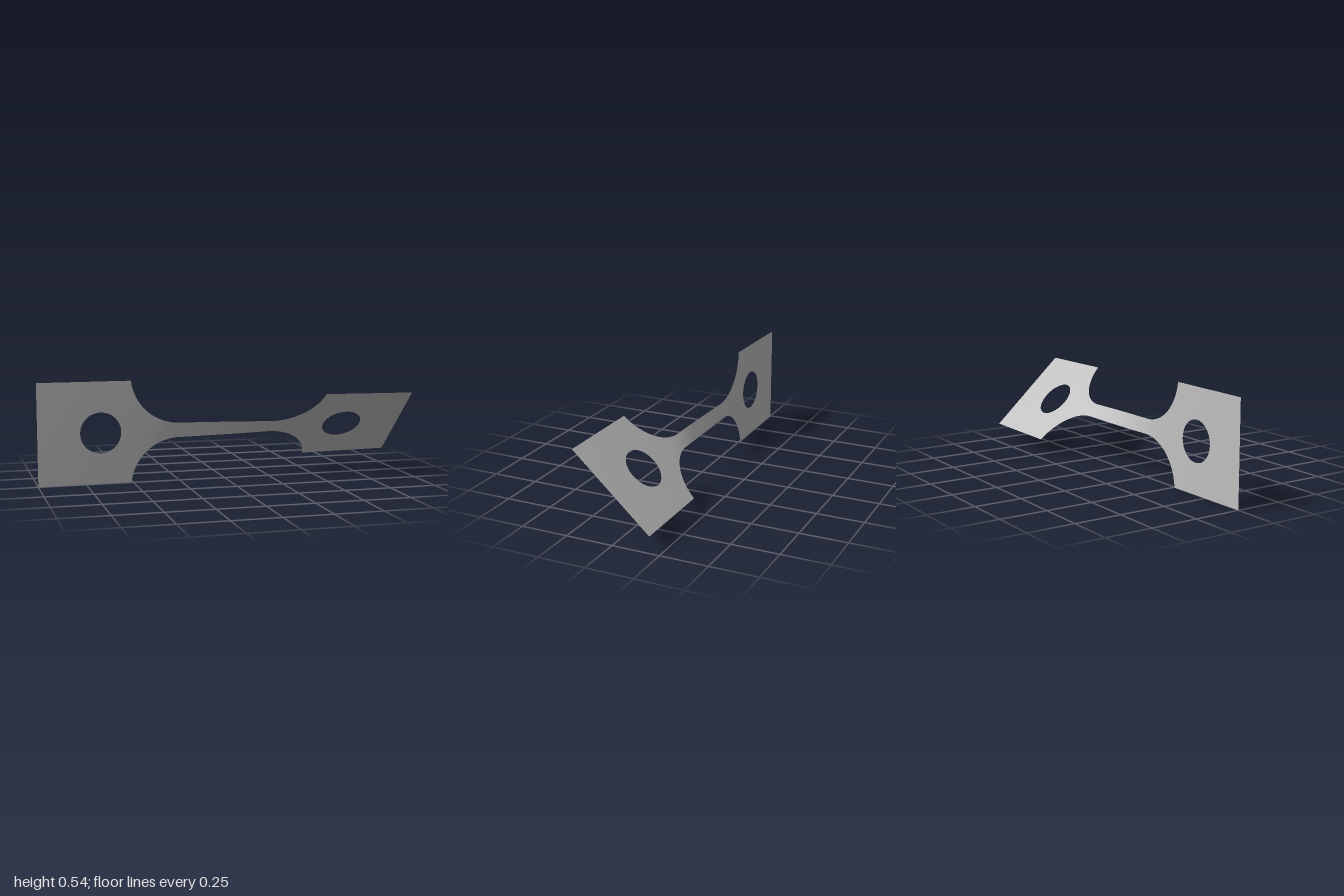
import * as THREE from 'three';
import { mergeGeometries } from 'three/addons/utils/BufferGeometryUtils.js';

const AXIS_Y = 0.271;      // height of the long axis
const HALF = 0.271;        // half width of the end tabs
const NECK_END = 0.25, RADIUS = 0.26, FILLET_Y = 0.3;
const TAB_START = NECK_END + 0.2584;
const HOLE_X = 0.67, HOLE_R = 0.108;
const TWIST = THREE.MathUtils.degToRad(47.4);

// Half width of the strip at x
function halfWidth(x) {
  const d = Math.abs(x) - NECK_END;
  if (d <= 0) return FILLET_Y - RADIUS;
  if (Math.abs(x) >= TAB_START) return HALF;
  return Math.min(HALF, FILLET_Y - Math.sqrt(RADIUS * RADIUS - d * d));
}

// Twist accumulates along x, fastest where the strip is narrow
const STEPS = 1000;
const turn = [0];
for (let i = 0; i < STEPS; i++) {
  turn.push(turn[i] + Math.pow(halfWidth(-1 + (2 * (i + 0.5)) / STEPS), -1.5));
}
function angleAt(x) {
  const f = THREE.MathUtils.clamp(((x + 1) / 2) * STEPS, 0, STEPS);
  const i = Math.min(Math.floor(f), STEPS - 1);
  return (TWIST * THREE.MathUtils.lerp(turn[i], turn[i + 1], f - i)) / turn[STEPS];
}

// Twisted sheet between a lower and an upper edge, over columns xs
function sheet(xs, lower, upper, rows = 8) {
  const pos = [], index = [];
  xs.forEach((x, i) => {
    const a = angleAt(x);
    for (let j = 0; j <= rows; j++) {
      const v = THREE.MathUtils.lerp(lower(x), upper(x), j / rows);
      pos.push(x, AXIS_Y + v * Math.cos(a), v * Math.sin(a));
      if (i && j) {
        const d = i * (rows + 1) + j, c = d - 1, b = d - rows - 1, e = b - 1;
        index.push(e, c, d, e, d, b);
      }
    }
  });
  const g = new THREE.BufferGeometry();
  g.setAttribute('position', new THREE.Float32BufferAttribute(pos, 3));
  g.setIndex(index);
  g.computeVertexNormals();
  return g;
}

const columns = (n, f) => Array.from({ length: n + 1 }, (_, i) => f(i / n));
const span = (a, b, n) => columns(n, t => THREE.MathUtils.lerp(a, b, t));

export function createModel() {
  const group = new THREE.Group();
  const steel = new THREE.MeshStandardMaterial({ color: 0xc0c0c0, side: THREE.DoubleSide });
  steel.name = 'plain grey';
  const add = (name, geometry) => {
    const mesh = new THREE.Mesh(geometry, steel);
    mesh.name = name;
    group.add(mesh);
  };

  // Neck with its four concave fillets, as one smooth strip
  const aMax = Math.asin((TAB_START - NECK_END) / RADIUS);
  const fillet = columns(28, t => NECK_END + RADIUS * Math.sin(aMax * t));
  const neckXs = [
    ...fillet.slice(1).reverse().map(x => -x),
    ...span(-NECK_END, NECK_END, 40),
    ...fillet.slice(1),
  ];
  add('twistedNeck', sheet(neckXs, x => -halfWidth(x), halfWidth));

  // End tabs, each with a round hole
  for (const side of [-1, 1]) {
    const cx = side * HOLE_X;
    const [start, end] = side < 0 ? [-1, -TAB_START] : [TAB_START, 1];
    const holeXs = columns(40, t => cx - HOLE_R * Math.cos(Math.PI * t));
    const rim = x => Math.sqrt(Math.max(0, HOLE_R ** 2 - (x - cx) ** 2));
    const top = () => HALF, bottom = () => -HALF;
    add(side < 0 ? 'rightTab' : 'leftTab', mergeGeometries([
      sheet(span(start, cx - HOLE_R, 8), bottom, top),
      sheet(holeXs, rim, top, 4),
      sheet(holeXs, bottom, x => -rim(x), 4),
      sheet(span(cx + HOLE_R, end, 8), bottom, top),
    ]));
  }
  return group;
}
